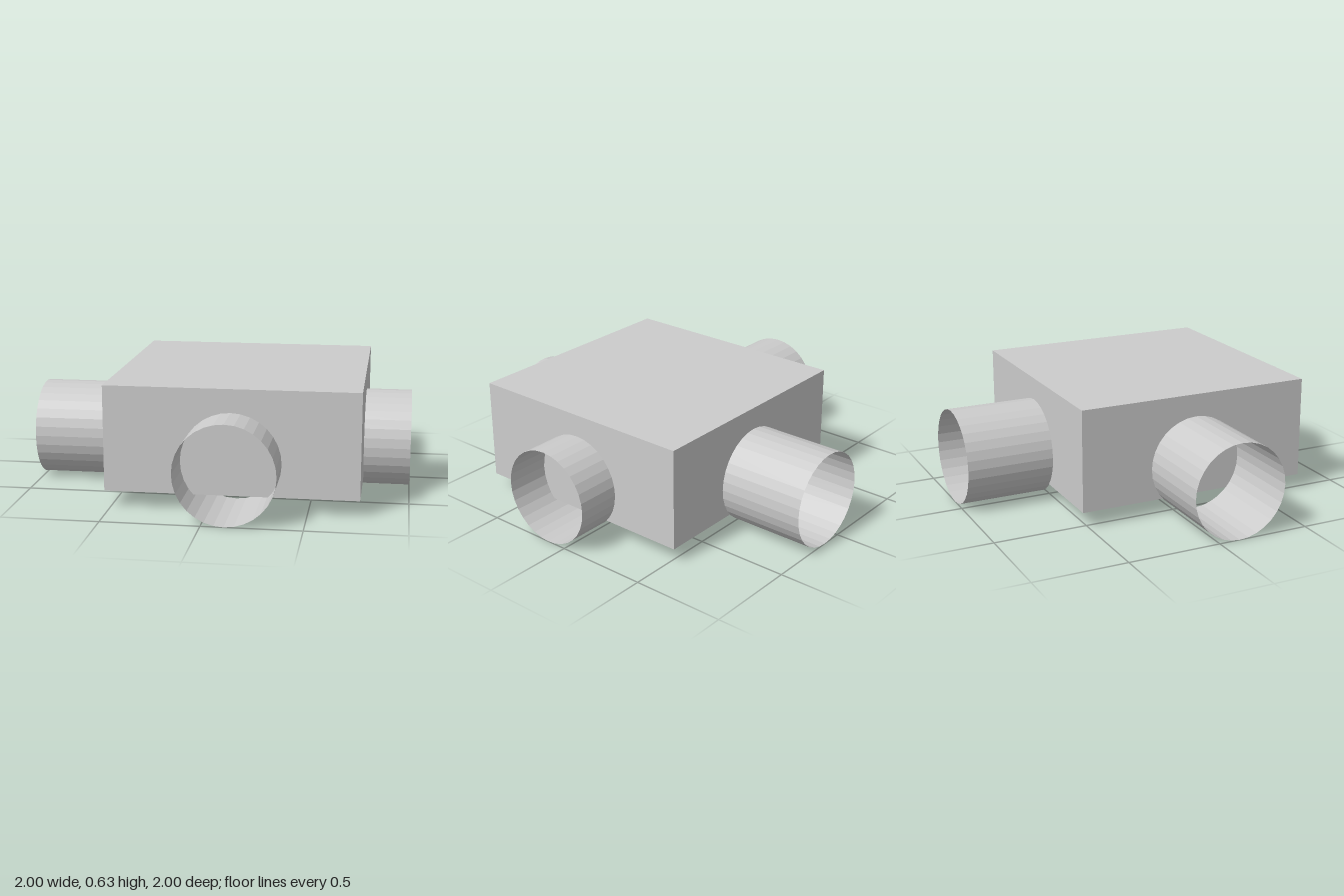
import * as THREE from 'three';

export function createModel() {
  const model = new THREE.Group();
  const centre = 0.115; // shared x and z centre of the box and pipe axes

  // Solid junction box
  const boxMaterial = new THREE.MeshStandardMaterial({ color: 0xcccccc, flatShading: true });
  const box = new THREE.Mesh(new THREE.BoxGeometry(1.29, 0.545, 1.29), boxMaterial);
  box.name = 'junctionBox';
  box.position.set(centre, 0.3575, centre);
  model.add(box);

  // Four open, faceted pipe stubs, one per side
  const radius = 0.255, length = 0.472, mid = 1 - length / 2;
  const pipeMaterial = new THREE.MeshStandardMaterial({
    color: 0xcccccc, flatShading: true, side: THREE.DoubleSide,
  });
  const alongZ = new THREE.CylinderGeometry(radius, radius, length, 32, 1, true).rotateX(Math.PI / 2);
  const alongX = alongZ.clone().rotateY(Math.PI / 2);

  const addPipe = (name, geometry, x, z) => {
    const pipe = new THREE.Mesh(geometry, pipeMaterial);
    pipe.name = name;
    pipe.position.set(x, radius, z);
    model.add(pipe);
  };
  addPipe('frontPipe', alongZ, centre, mid);
  addPipe('backPipe', alongZ, centre, -mid);
  addPipe('leftPipe', alongX, mid, centre);
  addPipe('rightPipe', alongX, -mid, centre);

  return model;
}
